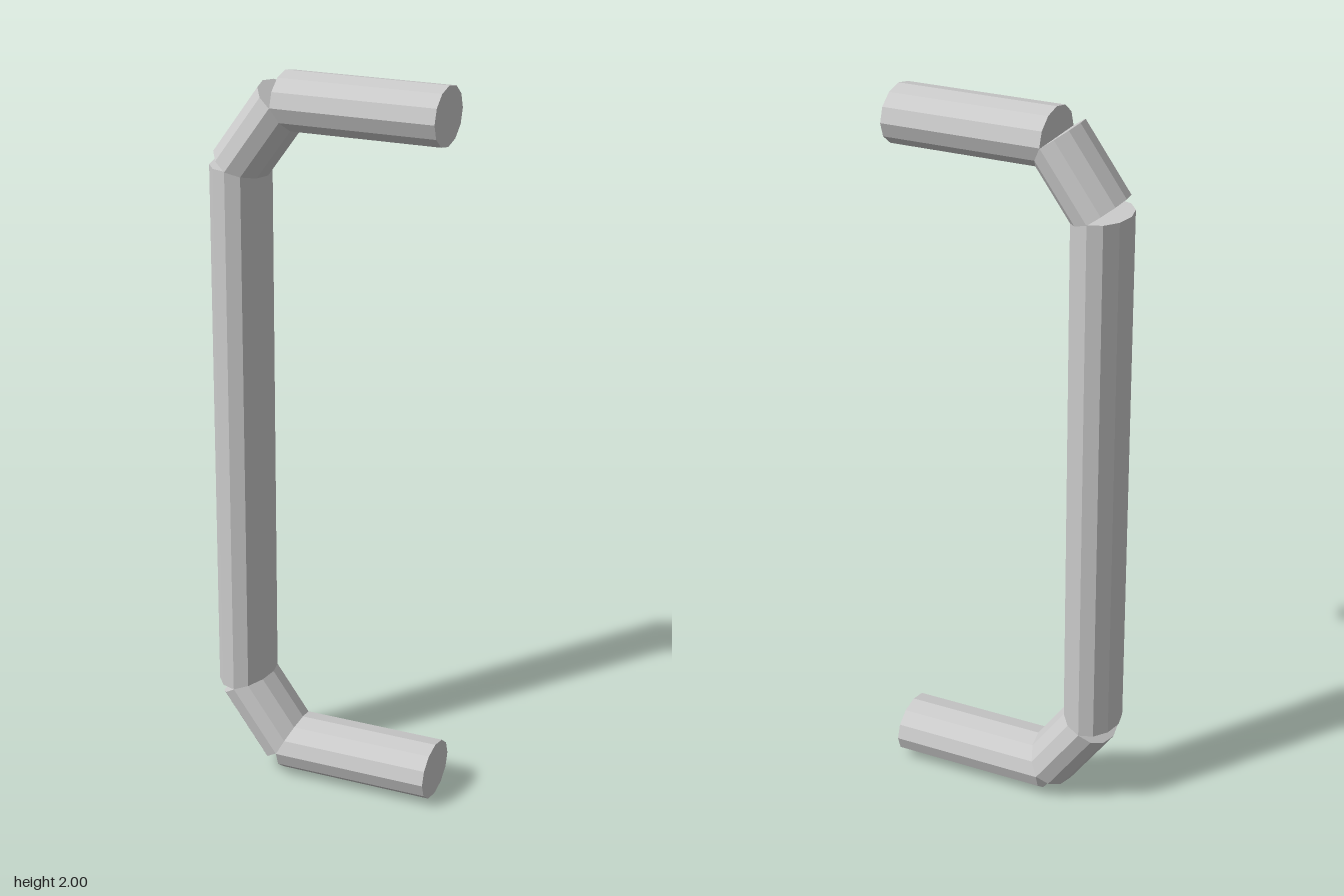
import * as THREE from 'three';

const IN_PLANE = 0.077; // bar half-width within the bend plane
const DEPTH = 0.1;      // bar half-width front to back

export function createModel() {
  const group = new THREE.Group();
  group.name = 'pullHandle';
  const material = new THREE.MeshStandardMaterial({ color: 0xcccccc, flatShading: true });

  // Closed 12-sided oval bar between two points in the z = 0 plane
  function bar(name, [x0, y0], [x1, y1]) {
    const dx = x1 - x0, dy = y1 - y0;
    const geometry = new THREE.CylinderGeometry(1, 1, Math.hypot(dx, dy), 12);
    geometry.scale(IN_PLANE, 1, DEPTH);
    const mesh = new THREE.Mesh(geometry, material);
    mesh.name = name;
    mesh.position.set((x0 + x1) / 2, (y0 + y1) / 2, 0);
    mesh.rotation.z = Math.atan2(-dx, dy);
    group.add(mesh);
  }

  // Upright grip
  bar('grip', [-0.245, 0.255], [-0.245, 1.747]);

  // Slanted elbow and mounting post at each end
  for (const [side, at] of [['lower', y => y], ['upper', y => 2 - y]]) {
    bar(side + 'Elbow', [-0.245, at(0.255)], [-0.118, at(0.078)]);
    bar(side + 'Post', [-0.117, at(0.077)], [0.322, at(0.077)]);
  }
  return group;
}
